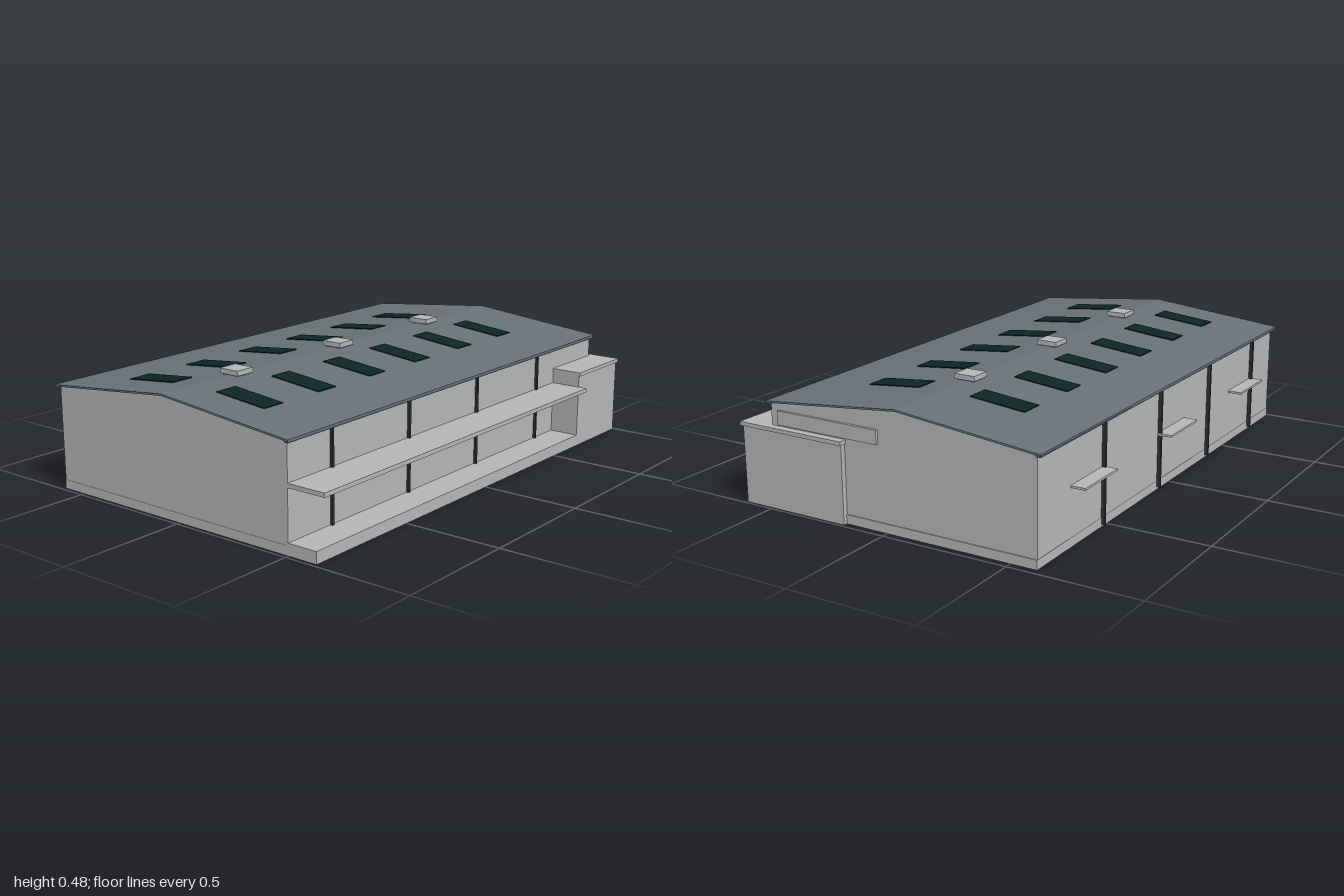
import * as THREE from 'three';

const paint = (name, color) => {
  const m = new THREE.MeshStandardMaterial({ color });
  m.name = name;
  return m;
};

export function createModel() {
  const wall = paint('wallGrey', 0xb4b6b5);
  const roofing = paint('roofSlate', 0x687076);
  const trim = paint('gutterSlate', 0x505860);
  const glass = paint('skylightGlass', 0x0e2424);
  const dark = paint('downpipeDark', 0x2c3032);
  const group = new THREE.Group();
  group.name = 'industrialHall';

  const add = (name, geometry, material) => {
    const mesh = new THREE.Mesh(geometry, material);
    mesh.name = name;
    group.add(mesh);
    return mesh;
  };
  // box given by its extents along each axis
  const box = (name, material, [x0, x1], [y0, y1], [z0, z1]) => {
    const mesh = add(name, new THREE.BoxGeometry(x1 - x0, y1 - y0, z1 - z0), material);
    mesh.position.set((x0 + x1) / 2, (y0 + y1) / 2, (z0 + z1) / 2);
    return mesh;
  };
  // (z, y) profile extruded along x
  const alongX = (name, material, points, x0, x1) => {
    const shape = new THREE.Shape(points.map(([z, y]) => new THREE.Vector2(-z, y)));
    const g = new THREE.ExtrudeGeometry(shape, { depth: x1 - x0, bevelEnabled: false });
    g.rotateY(Math.PI / 2).translate(x0, 0, 0);
    return add(name, g, material);
  };

  // main hall with gabled ends
  const ridgeZ = -0.055;
  alongX('hall', wall,
    [[-0.6, 0.03], [0.5, 0.03], [0.5, 0.394], [ridgeZ, 0.45], [-0.6, 0.394]], -0.985, 0.97);

  // hollow foundation skirt, open underneath
  const plan = (pts) => pts.map(([x, z]) => new THREE.Vector2(x, -z));
  const rect = (x0, x1, z0, z1) => new THREE.Path(plan([[x0, z0], [x1, z0], [x1, z1], [x0, z1]]));
  const skirt = new THREE.Shape(plan([
    [-0.986, -0.601], [0.974, -0.601], [0.974, 0.175], [0.99, 0.175], [0.99, 0.62], [-0.986, 0.62],
  ]));
  skirt.holes.push(
    rect(-0.98, 0.968, -0.595, 0.495),
    rect(-0.98, 0.67, 0.505, 0.614),
    rect(0.682, 0.984, 0.505, 0.614),
  );
  add('foundationSkirt',
    new THREE.ExtrudeGeometry(skirt, { depth: 0.035, bevelEnabled: false }).rotateX(-Math.PI / 2), wall);

  // loading ledge, front canopy, corner annex and side panel
  box('loadingLedge', wall, [-0.986, 0.68], [0.03, 0.045], [0.49, 0.62]);
  box('frontCanopy', wall, [-0.985, 0.68], [0.233, 0.249], [0.49, 0.655]);
  box('annex', wall, [0.677, 0.99], [0.03, 0.3], [0.175, 0.62]);
  box('annexCap', wall, [0.673, 1], [0.295, 0.31], [0.17, 0.626]);
  box('sidePanel', wall, [0.96, 0.98], [0.317, 0.37], [0.03, 0.465]);

  // thin pitched roof
  const eave = 0.4, ridge = 0.457, t = 0.007;
  alongX('roof', roofing, [
    [-0.62, eave - t], [ridgeZ, ridge - t], [0.515, eave - t],
    [0.515, eave], [ridgeZ, ridge], [-0.62, eave],
  ], -1, 0.985);

  // gutters and downpipes on both long sides
  box('frontGutter', trim, [-0.995, 0.98], [0.387, 0.397], [0.496, 0.513]);
  box('backGutter', trim, [-0.995, 0.98], [0.387, 0.397], [-0.618, -0.598]);
  for (const x of [-0.765, -0.333, 0.1, 0.535]) {
    box('frontDownpipe', dark, [x - 0.005, x + 0.005], [0.045, 0.39], [0.5, 0.51]);
    box('backDownpipe', dark, [x - 0.005, x + 0.005], [0.01, 0.39], [-0.614, -0.6]);
  }

  // small canopies over the back doors
  for (const x of [-0.66, -0.007, 0.643]) {
    box('backCanopy', wall, [x - 0.114, x + 0.114], [0.214, 0.222], [-0.656, -0.6]);
  }

  // skylights lying on each slope
  const slope = (ridge - eave) / (0.515 - ridgeZ);
  for (const x of [-0.79, -0.505, -0.215, 0.07, 0.36, 0.65]) {
    for (const [z, side] of [[0.16, 1], [-0.275, -1]]) {
      const pane = add('skylight', new THREE.BoxGeometry(0.095, 0.005, 0.222), glass);
      pane.position.set(x, ridge - slope * Math.abs(z - ridgeZ) + 0.001, z);
      pane.rotation.x = side * Math.atan(slope);
    }
  }

  // ridge vents: a neck under a wider cap
  for (const x of [-0.625, -0.045, 0.53]) {
    box('ventNeck', wall, [x - 0.032, x + 0.032], [0.44, 0.462], [-0.09, -0.023]);
    box('ventCap', wall, [x - 0.041, x + 0.041], [0.459, 0.478], [-0.099, -0.013]);
  }
  return group;
}
